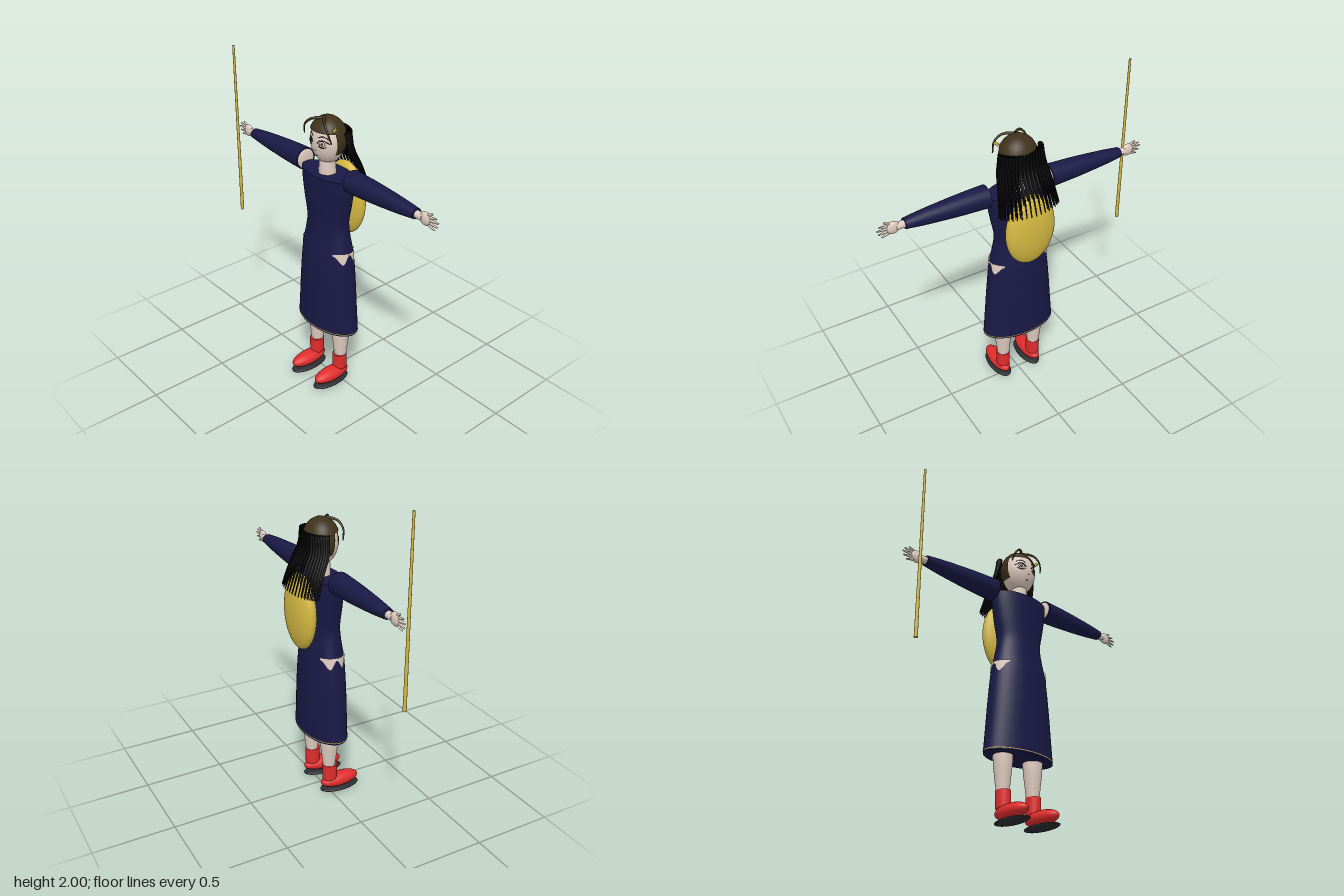
import * as THREE from 'three';
import { ParametricGeometry } from 'three/addons/geometries/ParametricGeometry.js';

const mat = (name, color, side = THREE.FrontSide) => {
  const m = new THREE.MeshStandardMaterial({ color, side });
  m.name = name;
  return m;
};
const V = (x, y, z) => new THREE.Vector3(x, y, z);

// Smooth body through [y, xRadius, zRadius] rings listed from the top down, with flat caps
function loft(rings, steps = 20, sides = 36) {
  const curve = new THREE.CatmullRomCurve3(rings.map(([y, rx, rz]) => V(rx, y, rz)));
  const geo = new THREE.CylinderGeometry(1, 1, 1, sides, steps, false, Math.PI);
  const p = geo.attributes.position;
  for (let i = 0; i < p.count; i++) {
    const c = curve.getPoint(THREE.MathUtils.clamp(0.5 - p.getY(i), 0, 1));
    p.setXYZ(i, p.getX(i) * c.x, c.y, p.getZ(i) * c.z);
  }
  geo.computeVertexNormals();
  return geo;
}

// Tapering strand that follows a curve; a power below 1 thins it early
function strand(points, r0, r1, steps = 8, power = 1) {
  const curve = new THREE.CatmullRomCurve3(points);
  const geo = new THREE.TubeGeometry(curve, steps, 1, 6);
  const p = geo.attributes.position;
  for (let i = 0; i < p.count; i++) {
    const t = Math.floor(i / 7) / steps;
    const c = curve.getPointAt(t);
    const v = V(0, 0, 0).fromBufferAttribute(p, i).sub(c);
    v.multiplyScalar(THREE.MathUtils.lerp(r0, r1, t ** power)).add(c);
    p.setXYZ(i, v.x, v.y, v.z);
  }
  return geo;
}

const ellipsoid = (rx, ry, rz, w = 32, h = 20) => new THREE.SphereGeometry(1, w, h).scale(rx, ry, rz);

export function createModel() {
  const model = new THREE.Group();
  model.name = 'staffBearer';
  const navy = mat('navy cloth', 0x191946);
  const skin = mat('skin', 0xdfccc0);
  const skinPatch = mat('skin patch', 0xdfccc0, THREE.DoubleSide);
  const red = mat('red shoe', 0xe02c2c);
  const sole = mat('dark sole', 0x2b2d31);
  const gold = mat('gold', 0xd4b842);
  const brown = mat('brown hair', 0x40321c, THREE.DoubleSide);
  const black = mat('black hair', 0x050505, THREE.DoubleSide);
  const ink = mat('face line', 0x15100e);

  const add = (name, geo, material, x = 0, y = 0, z = 0, parent = model) => {
    const m = new THREE.Mesh(geo, material);
    m.name = name;
    m.position.set(x, y, z);
    parent.add(m);
    return m;
  };

  // Long dress and its gold hem line
  add('dress', loft([
    [1.43, 0.2, 0.105], [1.36, 0.195, 0.105], [1.25, 0.176, 0.102], [1.13, 0.154, 0.096],
    [1.04, 0.168, 0.1], [0.93, 0.19, 0.117], [0.74, 0.211, 0.127], [0.56, 0.227, 0.129], [0.406, 0.241, 0.13],
  ], 36, 48), navy);
  add('hemLine', new THREE.CylinderGeometry(1, 1, 0.004, 48, 1, true).scale(0.241, 1, 0.131), gold, 0, 0.416, 0);

  // Neck
  add('neck', new THREE.CylinderGeometry(0.047, 0.052, 0.13, 24), skin, 0, 1.48, 0.005);

  // Head, narrowed toward the chin
  const HY = 1.63, RX = 0.108, RY = 0.14, RZ = 0.098;
  const taper = (t) => 1 - 0.12 * Math.max(0, -t) ** 1.5;
  const head = new THREE.SphereGeometry(1, 40, 28);
  const hp = head.attributes.position;
  for (let i = 0; i < hp.count; i++) {
    hp.setXYZ(i, hp.getX(i) * RX * taper(hp.getY(i)), hp.getY(i) * RY, hp.getZ(i) * RZ);
  }
  head.computeVertexNormals();
  add('head', head, skin, 0, HY, 0);

  // Face lines laid on the head surface
  const onFace = ([x, y]) => {
    const t = (y - HY) / RY, u = x / (RX * taper(t));
    return V(x, y, RZ * Math.sqrt(Math.max(0, 1 - t * t - u * u)) + 0.001);
  };
  const line = (name, pts, r = 0.002) =>
    add(name, new THREE.TubeGeometry(new THREE.CatmullRomCurve3(pts.map(onFace)), 14, r, 5), ink);
  const oval = (cx, cy, rx, ry) => Array.from({ length: 13 }, (_, i) =>
    [cx + rx * Math.cos(i * Math.PI / 6), cy + ry * Math.sin(i * Math.PI / 6)]);
  for (const s of [-1, 1]) {
    line('eyebrow', [[s * 0.022, 1.67], [s * 0.05, 1.681], [s * 0.08, 1.667]]);
    line('upperLash', [[s * 0.02, 1.636], [s * 0.034, 1.655], [s * 0.058, 1.658], [s * 0.085, 1.642]], 0.0025);
    line('lowerLash', [[s * 0.026, 1.622], [s * 0.05, 1.613], [s * 0.074, 1.623]], 0.0015);
    line('iris', oval(s * 0.05, 1.635, 0.016, 0.019), 0.0015);
    line('pupil', oval(s * 0.05, 1.635, 0.005, 0.008));
  }
  line('nose', [[-0.004, 1.592], [0, 1.59], [0.005, 1.593]], 0.0015);
  line('mouth', [[-0.012, 1.556], [0, 1.553], [0.012, 1.556]], 0.0015);

  // Hair shells: one over the crown down to the fringe, one around the back of the head
  const shell = (angle, tilt) => new THREE.SphereGeometry(1, 40, 24, 0, Math.PI * 2, 0, angle)
    .rotateX(tilt).scale(0.117, 0.13, 0.106);
  add('hairCrown', shell(1.18, -0.05), brown, 0, 1.645, 0);
  add('hairBack', shell(1.84, -1.5), brown, 0, 1.645, 0);

  // Loose front locks
  for (const s of [-1, 1]) {
    add('frontLock', strand([V(0, 1.768, 0.03), V(s * 0.055, 1.757, 0.075),
      V(s * 0.1, 1.715, 0.088), V(s * 0.118, 1.655, 0.075)], 0.01, 0.004), brown);
  }

  // Gold hair clip
  for (const a of [-0.5, -1.1]) {
    add('hairClip', ellipsoid(0.008, 0.022, 0.007, 12, 8), gold, 0.109, 1.727, 0.045).rotation.z = a;
  }

  // Long black hair fanning down the back, in two layers with gaps toward the tips
  const hair = new THREE.Group();
  hair.name = 'longHair';
  model.add(hair);
  for (const [count, k] of [[21, 1], [21, 0.75]]) {
    for (let i = 0; i < count; i++) {
      const a = (i / (count - 1) - 0.5) * 3.2;
      const sx = Math.sin(a), c = Math.cos(a);
      add('hairStrand', strand([
        V(0.127 * sx, 1.7, -0.03 - 0.07 * c * k),
        V(0.148 * sx, 1.6, -0.037 - 0.072 * c * k),
        V(0.172 * sx, 1.48, -0.085 - 0.08 * c * k),
        V(0.194 * sx, 1.355, -0.125 - 0.083 * c * k),
      ], 0.015, 0.003, 8, 0.65), black, 0, 0, 0, hair);
    }
  }

  // Oval shield on the back
  add('shield', ellipsoid(0.161, 0.235, 0.067, 40, 28), gold, 0, 1.224, -0.139);

  // Staff beside the right hand
  add('staff', new THREE.CylinderGeometry(0.007, 0.011, 1.106, 12), gold, -0.795, 1.447, 0.07);

  const legGeo = loft([[0.45, 0.058, 0.058], [0.36, 0.056, 0.056], [0.28, 0.047, 0.048], [0.18, 0.037, 0.036]], 12, 24);
  const sleeveGeo = () => loft([[0.71, 0.03, 0.035], [0.6, 0.044, 0.045], [0.4, 0.06, 0.06],
    [0.28, 0.066, 0.066], [0.205, 0.068, 0.07]]);
  for (const s of [-1, 1]) {
    // Sleeve with the bare rounded shoulder end inside it
    add('sleeve', sleeveGeo().rotateZ(-s * Math.PI / 2), navy, 0, 1.441, 0);
    add('shoulderEnd', ellipsoid(0.013, 0.061, 0.061, 28, 16), skin, s * 0.208, 1.441, 0);

    // Hand with spread fingers
    const hand = new THREE.Group();
    hand.name = s > 0 ? 'leftHand' : 'rightHand';
    hand.position.set(s * 0.7, 1.44, 0);
    model.add(hand);
    add('wrist', new THREE.CylinderGeometry(0.021, 0.023, 0.07, 16).rotateZ(Math.PI / 2), skin, s * 0.025, 0, 0, hand);
    add('palm', ellipsoid(0.04, 0.039, 0.019, 20, 14), skin, s * 0.075, 0, 0, hand);
    [[0.128, 0.045], [0.157, 0.026], [0.17, 0.004], [0.163, -0.021], [0.145, -0.043]].forEach(([x, y]) =>
      add('finger', strand([V(s * 0.08, y * 0.4, 0), V(s * (x + 0.08) / 2, y * 0.75, 0.001),
        V(s * x, y, 0)], 0.011, 0.004, 5), skin, 0, 0, 0, hand));

    // Jagged bare patch at the hip
    const patch = new ParametricGeometry((u, v, target) => {
      const z = 0.083 - 0.166 * u;
      const low = 0.925 - 0.028 * Math.cos(u * Math.PI * 4 + Math.PI);
      const y = THREE.MathUtils.lerp(0.966, low, v);
      const rx = 0.194 + (0.93 - y) * 0.11 + 0.001;
      target.set(s * rx * Math.sqrt(1 - (z / 0.119) ** 2), y, z);
    }, 24, 4);
    add('hipPatch', patch, skinPatch);

    // Leg, boot shaft, shoe and sole
    add('leg', legGeo, skin, s * 0.113, 0, -0.005);
    add('bootShaft', new THREE.CylinderGeometry(0.042, 0.042, 0.1, 24).scale(1, 1, 1.12), red, s * 0.113, 0.15, 0);
    add('heel', ellipsoid(0.042, 0.025, 0.047, 24, 14), red, s * 0.113, 0.103, 0);
    add('shoe', ellipsoid(0.053, 0.045, 0.13), red, s * 0.113, 0.07, 0.07);
    add('sole', ellipsoid(0.061, 0.017, 0.134), sole, s * 0.11, 0.017, 0.072);
  }
  return model;
}
